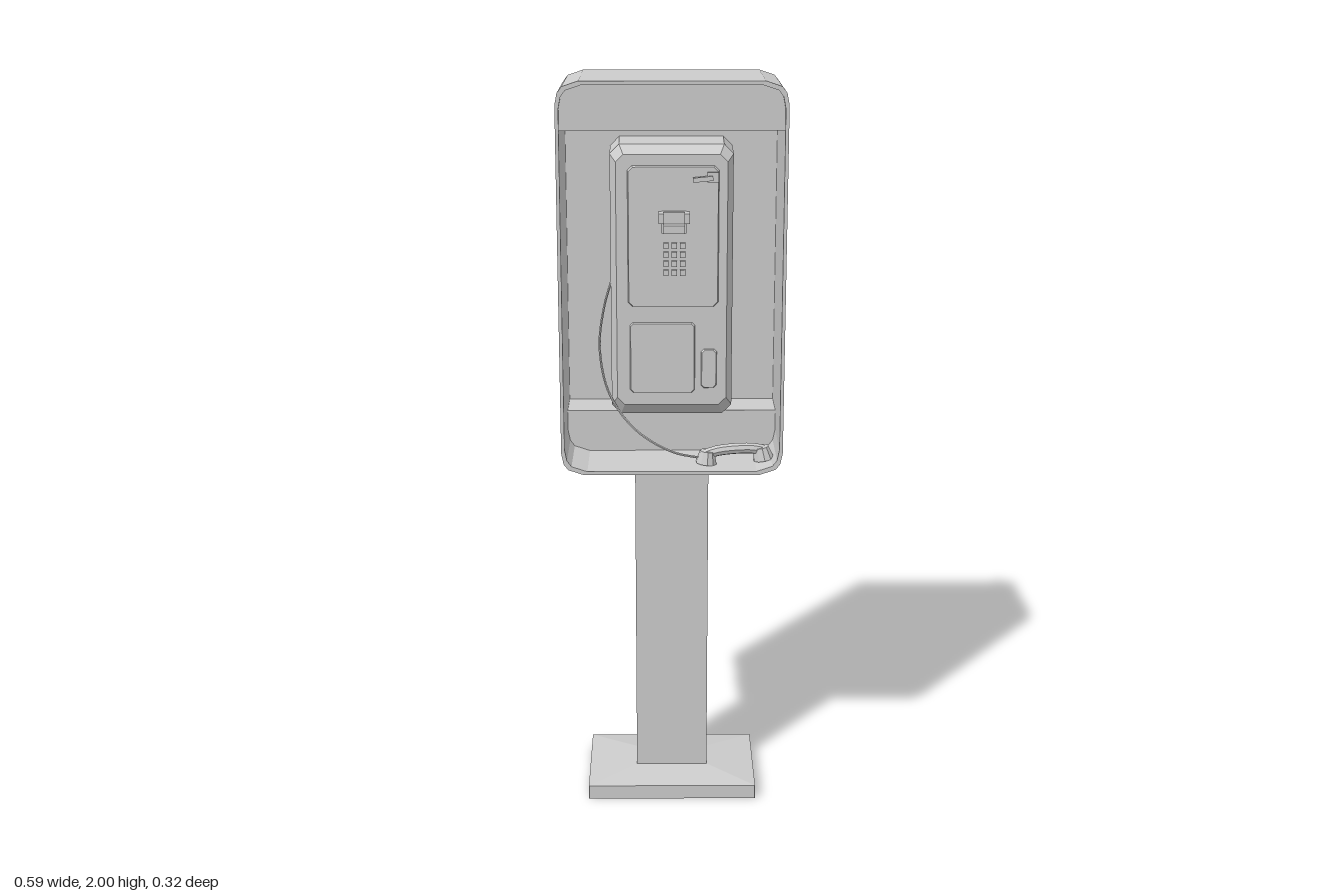
import * as THREE from 'three';

const mat = new THREE.MeshStandardMaterial({ color: 0xcccccc, flatShading: true });

function add(parent, name, geometry, x = 0, y = 0, z = 0) {
  const mesh = new THREE.Mesh(geometry, mat);
  mesh.name = name;
  mesh.position.set(x, y, z);
  parent.add(mesh);
  return mesh;
}
const box = (w, h, d) => new THREE.BoxGeometry(w, h, d);

// Outline with clipped corners: a list of corner steps is mirrored into all four corners
function outline(w, h, steps) {
  const pts = [];
  const quads = [[1, 1], [-1, 1], [-1, -1], [1, -1]];
  quads.forEach(([sx, sy], q) => {
    const list = steps.map(([dx, dy]) => [sx * (w - dx), sy * (h - dy)]);
    if (q % 2) list.reverse();
    list.forEach(([x, y]) => pts.push(new THREE.Vector2(x, y)));
  });
  return pts;
}

// Closed solid through sections [z, halfWidth, halfHeight, chamfer, yOffset]
function loft(sections) {
  const pos = [];
  const rings = sections.map(([z, w, h, c, oy = 0]) =>
    outline(w, h, [[0, c], [c, 0]]).map(p => new THREE.Vector3(p.x, p.y + oy, z)));
  const tri = (...v) => v.forEach(p => pos.push(p.x, p.y, p.z));
  const n = rings[0].length;
  for (let r = 0; r < rings.length - 1; r++) {
    for (let i = 0; i < n; i++) {
      const j = (i + 1) % n, a = rings[r], b = rings[r + 1];
      tri(a[i], a[j], b[j]);
      tri(a[i], b[j], b[i]);
    }
  }
  const back = rings[0], front = rings[rings.length - 1];
  for (let i = 1; i < n - 1; i++) {
    tri(front[0], front[i], front[i + 1]);
    tri(back[0], back[i + 1], back[i]);
  }
  const g = new THREE.BufferGeometry();
  g.setAttribute('position', new THREE.Float32BufferAttribute(pos, 3));
  g.computeVertexNormals();
  return g;
}

function extrude(pts, depth, hole) {
  const shape = new THREE.Shape(pts);
  if (hole) shape.holes.push(new THREE.Path(hole));
  return new THREE.ExtrudeGeometry(shape, { depth, bevelEnabled: false });
}

function makeStand() {
  const g = new THREE.Group();
  g.name = 'stand';
  // Foot plate with a gently sloped top
  const foot = loft([[0, 0.235, 0.16, 0.001], [0.04, 0.235, 0.16, 0.001], [0.055, 0.1, 0.055, 0.001]]);
  add(g, 'footPlate', foot.rotateX(-Math.PI / 2));
  add(g, 'post', box(0.2, 0.93, 0.11), 0, 0.51, 0);
  return g;
}

function makeCabinet() {
  const g = new THREE.Group();
  g.name = 'cabinet';
  const steps = [[0, 0.06], [0.006, 0.03], [0.018, 0.014], [0.06, 0]];
  const cy = 1.4825;
  const outer = outline(0.295, 0.5175, steps);
  const inner = outline(0.286, 0.508, steps);
  add(g, 'shell', extrude(outer, 0.308, inner), 0, cy, -0.148);
  add(g, 'backPanel', extrude(outer, 0.012), 0, cy, -0.16);
  // Slim front lip
  add(g, 'frontLip', extrude(outline(0.295, 0.5175, steps), 0.012, outline(0.289, 0.511, steps)), 0, cy, 0.148);
  // Header follows the rounded top of the shell
  const top = inner.filter(p => p.y > 0);
  const header = [new THREE.Vector2(0.286, 0.3925), ...top, new THREE.Vector2(-0.286, 0.3925)];
  add(g, 'header', extrude(header, 0.296), 0, cy, -0.148);
  // Ledge along the bottom of the back wall
  const low = inner.filter(p => p.y < 0);
  const ledge = [new THREE.Vector2(-0.286, -0.3925), ...low, new THREE.Vector2(0.286, -0.3925)];
  add(g, 'ledge', extrude(ledge, 0.118), 0, cy, -0.148);
  return g;
}

function makePhone() {
  const g = new THREE.Group();
  g.name = 'telephone';
  // Body with bevelled rim
  add(g, 'body', loft([
    [-0.15, 0.165, 0.368, 0.025, 1.457],
    [0.0, 0.163, 0.366, 0.025, 1.457],
    [0.03, 0.147, 0.338, 0.02, 1.462],
  ]));
  // Upper plate, coin door and return slot
  add(g, 'controlPlate', loft([[0.028, 0.121, 0.188, 0.012], [0.04, 0.118, 0.185, 0.012]]), 0.004, 1.583, 0);
  add(g, 'coinDoor', loft([[0.028, 0.088, 0.098, 0.008], [0.037, 0.085, 0.095, 0.008]]), -0.025, 1.255, 0);
  add(g, 'returnSlot', loft([[0.028, 0.022, 0.055, 0.008], [0.037, 0.019, 0.052, 0.008]]), 0.1, 1.225, 0);

  // Keypad
  const keypad = new THREE.Group();
  keypad.name = 'keypad';
  for (let row = 0; row < 4; row++) {
    for (let col = 0; col < 3; col++) {
      add(keypad, 'key', box(0.014, 0.016, 0.01), -0.015 + col * 0.022, 1.562 - row * 0.024, 0.043);
    }
  }
  g.add(keypad);

  // Receiver cradle: backing, shelf and two prongs
  const cradle = new THREE.Group();
  cradle.name = 'cradle';
  add(cradle, 'cradleBack', box(0.066, 0.056, 0.014), 0.006, 1.625, 0.046);
  add(cradle, 'cradleShelf', box(0.056, 0.022, 0.03), 0.006, 1.61, 0.062);
  for (const s of [-1, 1]) {
    add(cradle, 'cradleProng', box(0.014, 0.026, 0.04), 0.006 + s * 0.034, 1.64, 0.062);
  }
  g.add(cradle);

  // Coin inlet with a small lever
  add(g, 'coinInlet', box(0.03, 0.026, 0.018), 0.108, 1.743, 0.045);
  const lever = add(g, 'coinLever', box(0.052, 0.012, 0.014), 0.082, 1.739, 0.054);
  lever.rotation.z = 0.1;
  return g;
}

function makeReceiver() {
  const g = new THREE.Group();
  g.name = 'receiver';
  // Arched grip with a cup at each end
  const grip = new THREE.CatmullRomCurve3([[-0.08, 0.006], [-0.045, 0.015], [0.045, 0.015], [0.08, 0.006]]
    .map(([x, y]) => new THREE.Vector3(x, y, 0)));
  add(g, 'grip', new THREE.TubeGeometry(grip, 10, 0.015, 8));
  for (const s of [-1, 1]) {
    const cup = add(g, 'cup', new THREE.CylinderGeometry(0.02, 0.029, 0.034, 10), s * 0.076, 0, 0);
    cup.rotation.z = s * 0.15;
  }
  g.position.set(0.17, 0.998, 0.085);
  g.rotation.set(0, 0.08, 0.05);
  return g;
}

export function createModel() {
  const model = new THREE.Group();
  model.name = 'payphone';
  model.add(makeStand(), makeCabinet(), makePhone(), makeReceiver());

  // Hanging cord from the side of the body to the receiver
  const path = new THREE.CatmullRomCurve3([
    [-0.155, 1.48, 0], [-0.183, 1.38, -0.01], [-0.195, 1.27, -0.01], [-0.17, 1.15, 0.01],
    [-0.1, 1.06, 0.05], [0, 1.005, 0.08], [0.08, 0.99, 0.09],
  ].map(p => new THREE.Vector3(...p)));
  add(model, 'cord', new THREE.TubeGeometry(path, 36, 0.0035, 6));
  return model;
}
